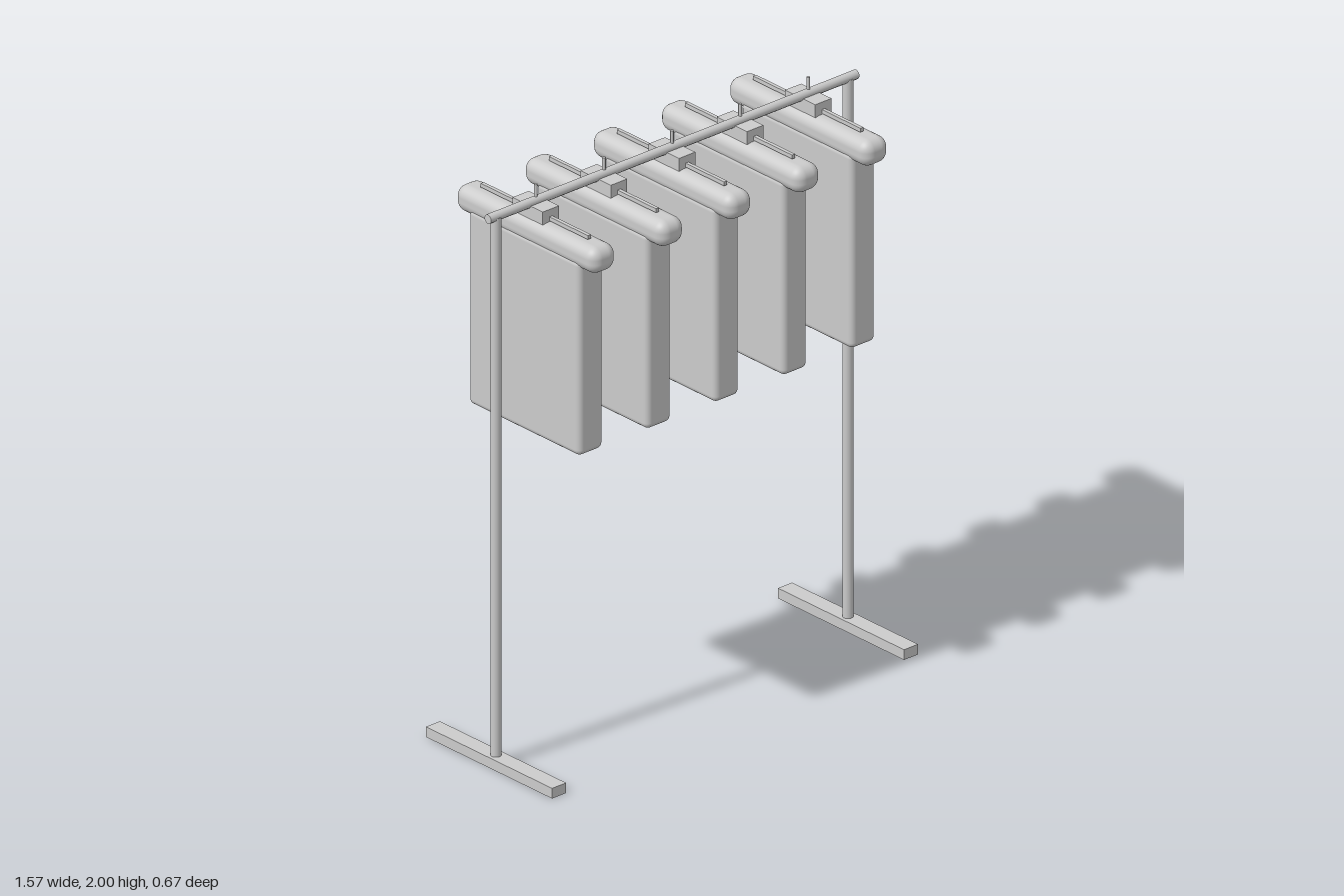
import * as THREE from 'three';
import { RoundedBoxGeometry } from 'three/addons/geometries/RoundedBoxGeometry.js';

const material = new THREE.MeshStandardMaterial({ color: 0xcccccc });

function add(parent, name, geometry, x, y, z) {
  const mesh = new THREE.Mesh(geometry, material);
  mesh.name = name;
  mesh.position.set(x, y, z);
  parent.add(mesh);
  return mesh;
}

// One garment on its hanger, centred on x = 0
function createGarment() {
  const garment = new THREE.Group();
  add(garment, 'garmentBody', new RoundedBoxGeometry(0.106, 0.69, 0.53, 3, 0.02), 0, 1.49, 0);
  add(garment, 'garmentShoulders', new RoundedBoxGeometry(0.106, 0.092, 0.67, 4, 0.038), 0, 1.849, 0);
  add(garment, 'garmentCollar', new THREE.BoxGeometry(0.07, 0.046, 0.144), 0, 1.915, 0);
  add(garment, 'hangerBar', new THREE.BoxGeometry(0.013, 0.014, 0.51), 0, 1.905, 0);
  add(garment, 'hangerHook', new THREE.CylinderGeometry(0.006, 0.006, 0.11, 8), 0, 1.945, 0);
  return garment;
}

export function createModel() {
  const model = new THREE.Group();
  model.name = 'clothesRack';

  // Mirrored feet and posts
  for (const [side, s] of [['left', 1], ['right', -1]]) {
    add(model, side + 'Foot', new THREE.BoxGeometry(0.06, 0.036, 0.6), s * 0.752, 0.018, 0);
    add(model, side + 'Post', new THREE.CylinderGeometry(0.018, 0.018, 1.92, 12), s * 0.752, 0.98, 0);
  }

  // Hanging rail
  const rail = add(model, 'rail', new THREE.CylinderGeometry(0.016, 0.016, 1.574, 12), 0, 1.942, 0);
  rail.rotation.z = Math.PI / 2;

  // Row of garments
  for (let i = -2; i <= 2; i++) {
    const garment = createGarment();
    garment.name = 'garment' + (i + 3);
    garment.position.x = i * 0.291;
    model.add(garment);
  }
  return model;
}
